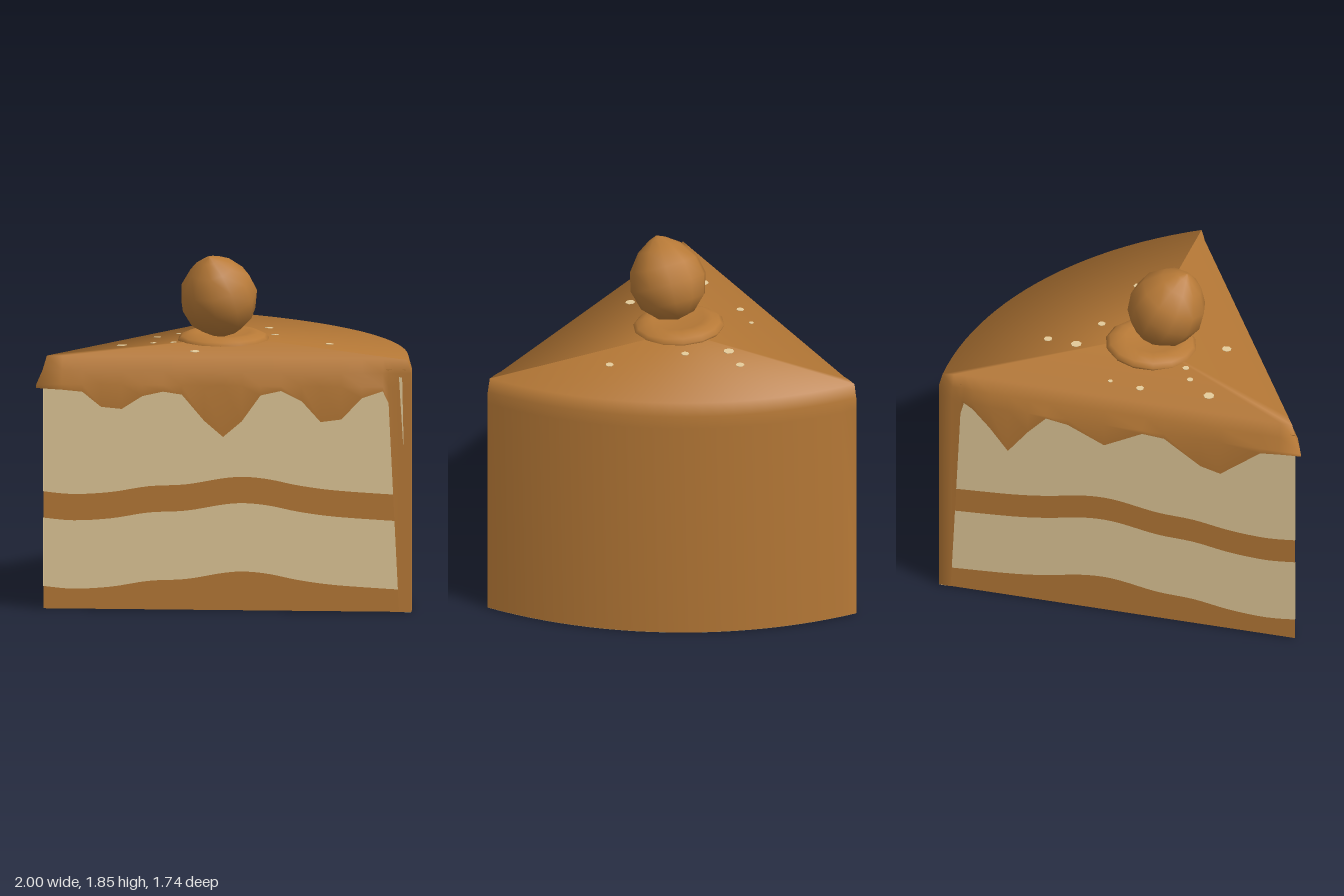
import * as THREE from 'three';

const R = 1.96, ARC = Math.PI / 3;
const TIP = new THREE.Vector3(-0.96, 0, 0.83);

const mat = (name, color) => {
  const m = new THREE.MeshStandardMaterial({ color, side: THREE.DoubleSide });
  m.name = name;
  return m;
};

// Point on a cut face: s along it from the tip, y up, out away from it.
// side 1 is the front cut, side -1 the other cut.
function onCut(side, s, y, out) {
  const a = side > 0 ? 0 : ARC;
  const nx = side > 0 ? 0 : -Math.sin(ARC), nz = side > 0 ? 1 : -Math.cos(ARC);
  return new THREE.Vector3(TIP.x + s * Math.cos(a) + out * nx, y, TIP.z - s * Math.sin(a) + out * nz);
}

// Point on the round back, at an angle from the front cut
const onArc = (a, r, y) => new THREE.Vector3(TIP.x + r * Math.cos(a), y, TIP.z - r * Math.sin(a));
const arcColumn = (a) => [onArc(a, R - 0.02, 1.352), onArc(a, R, 1.28), onArc(a, R, 1.21), onArc(a, R, 0)];

// Lower edge of the drips along each cut, as [s, y]
const DRIPS = {
  1: [[0.1, 1.18], [0.21, 1.17], [0.31, 1.09], [0.42, 1.08], [0.53, 1.15], [0.64, 1.175], [0.74, 1.16],
    [0.86, 1.02], [0.96, 0.935], [1.06, 1.02], [1.16, 1.16], [1.27, 1.185], [1.38, 1.13], [1.48, 1.02],
    [1.59, 1.035], [1.7, 1.15], [1.81, 1.185], [1.84, 1.12]],
  [-1]: [[0.08, 1.19], [0.18, 1.18], [0.4, 1.01], [0.51, 1.04], [0.71, 1.18], [0.83, 1.19], [1.04, 1.08],
    [1.24, 1.175], [1.36, 1.195], [1.46, 1.09], [1.57, 0.95], [1.67, 1.08], [1.77, 1.175], [1.82, 1.195], [1.84, 1.12]],
};
// The drips stand off the cut and settle back onto it near the round side
const dripOut = (s) => 0.042 - 0.033 * THREE.MathUtils.clamp((s - 1.71) / 0.13, 0, 1);

function indexed(pos, index) {
  const g = new THREE.BufferGeometry();
  g.setAttribute('position', new THREE.Float32BufferAttribute(pos, 3));
  g.setIndex(index);
  g.computeVertexNormals();
  return g;
}

// Frosting: columns of four points around the slice, closed by a low fan on top
function frostingGeometry() {
  const columns = [], outward = [];
  const add = (col, n) => { columns.push(col); outward.push(n); };

  const addCut = (side) => {
    const n = onCut(side, 0, 0, 1).sub(TIP);
    const cols = DRIPS[side].map(([s, y]) => {
      const out = dripOut(s);
      return [onCut(side, s, 1.355, -0.01), onCut(side, s, 1.28, out * 0.3),
        onCut(side, s, 1.21, out), onCut(side, s, y, out)];
    });
    // The strip where the back coat wraps onto the cut
    cols.push([onCut(side, 1.88, 1.355, -0.005), onCut(side, 1.885, 1.28, 0.004),
      onCut(side, 1.89, 1.21, 0.004), onCut(side, 1.895, 0, 0.003)]);
    if (side < 0) cols.reverse();
    cols.forEach((c) => add(c, n));
    // Crisp seam at the front corner
    if (side > 0) add(arcColumn(0), n);
  };

  const away = new THREE.Vector3(-Math.cos(ARC / 2), 0, Math.sin(ARC / 2));
  add([[-0.02, 1.355], [0.005, 1.28], [0.045, 1.2], [0.045, 1.185]]
    .map(([o, y]) => TIP.clone().addScaledVector(away, o).setY(y)), away);
  addCut(1);
  for (let i = 0; i <= 24; i++) {
    const a = ARC * i / 24;
    add(arcColumn(a), onArc(a, 1, 0).sub(TIP));
  }
  addCut(-1);

  const pos = [0.03, 1.385, 0.24], index = [];
  columns.flat().forEach((p) => pos.push(p.x, p.y, p.z));
  const count = columns.length;
  for (let i = 0; i < count; i++) {
    const a = 1 + i * 4, b = 1 + ((i + 1) % count) * 4;
    index.push(0, a, b);
    for (let r = 0; r < 3; r++) index.push(a + r, a + r + 1, b + r + 1, a + r, b + r + 1, b + r);
  }
  const g = indexed(pos, index);
  // Soft rounded shading along the top rim
  outward.forEach((n, i) => {
    const v = n.clone().setY(0.9).normalize();
    g.attributes.normal.setXYZ(1 + i * 4, v.x, v.y, v.z);
  });
  return g;
}

// Sloping back of the drips, from their lower edge in to the cut
function dripBackGeometry(side) {
  const pos = [], index = [];
  DRIPS[side].forEach(([s, y], i, list) => {
    for (const p of [onCut(side, s, y, dripOut(s)), onCut(side, s, 1.24, 0.004)]) pos.push(p.x, p.y, p.z);
    const a = i * 2;
    if (i < list.length - 1) index.push(a, a + 1, a + 2, a + 1, a + 3, a + 2);
  });
  return indexed(pos, index);
}

// Gentle wave of the layers along a cut
const WAVE = new THREE.SplineCurve([[0, 0], [0.16, -0.013], [0.36, 0], [0.56, 0.033], [0.76, 0.045], [0.96, 0.08],
  [1.08, 0.088], [1.21, 0.075], [1.36, 0.045], [1.56, 0.02], [1.89, 0]].map(([x, y]) => new THREE.Vector2(x, y)));

export function createModel() {
  const model = new THREE.Group();
  model.name = 'cakeSlice';
  const caramel = mat('caramel', 0xb87a37);
  const cream = mat('cream sponge', 0xe4cb9a);
  const add = (name, geometry, material, parent = model) => {
    const m = new THREE.Mesh(geometry, material);
    m.name = name;
    parent.add(m);
    return m;
  };

  // Solid wedge
  const wedge = new THREE.Shape();
  wedge.moveTo(0, 0);
  wedge.lineTo(R - 0.03, 0);
  wedge.absarc(0, 0, R - 0.03, 0, ARC, false);
  wedge.closePath();
  const body = new THREE.ExtrudeGeometry(wedge, { depth: 1.3, bevelEnabled: false, curveSegments: 24 });
  body.rotateX(-Math.PI / 2);
  add('wedgeBody', body, caramel).position.copy(TIP);

  // Pale rim under the back coat
  const rim = new THREE.RingGeometry(R - 0.035, R - 0.002, 24, 1, -ARC, ARC);
  rim.rotateX(Math.PI / 2);
  const rp = rim.attributes.position;
  for (let i = 0; i < rp.count; i++) {
    const l = Math.hypot(rp.getX(i), rp.getZ(i));
    rim.attributes.normal.setXYZ(i, rp.getX(i) / l, 0, rp.getZ(i) / l);
  }
  add('bottomRim', rim, cream).position.set(TIP.x, -0.002, TIP.z);

  // Sponge layers on both cuts
  const wave = WAVE.getPoints(40);
  for (const side of [1, -1]) {
    const cut = new THREE.Group();
    cut.name = side > 0 ? 'frontCut' : 'backCut';
    cut.position.copy(TIP);
    cut.rotation.y = side > 0 ? 0 : -2 * ARC;
    model.add(cut);
    const edge = (y) => wave.map((p) => new THREE.Vector2(side * p.x, y + p.y));
    const straight = [new THREE.Vector2(0, 1.25), new THREE.Vector2(side * 1.85, 1.25)];
    const layers = { lowerSponge: [edge(0.12), edge(0.487)], upperSponge: [edge(0.628), straight] };
    for (const [name, [low, high]] of Object.entries(layers)) {
      const plate = add(name, new THREE.ShapeGeometry(new THREE.Shape([...low, ...high.reverse()])), cream, cut);
      plate.position.z = 0.002;
    }
    add('dripBacks', dripBackGeometry(side), caramel);
  }

  // Frosting
  const frosting = add('frosting', frostingGeometry(), caramel);

  // Pale sliver on the front edge of the coat
  const sliver = new THREE.Shape([[0.935, 1.26], [0.957, 0.9], [0.96, 0.9], [0.952, 1.26]]
    .map(([x, y]) => new THREE.Vector2(x, y)));
  add('paleSliver', new THREE.ShapeGeometry(sliver), cream).position.z = TIP.z + 0.005;

  // Crumbs resting on the top
  const ray = new THREE.Raycaster();
  const down = new THREE.Vector3(0, -1, 0), up = new THREE.Vector3(0, 1, 0);
  const crumbs = [[0.165, -0.23, 0.023], [0.07, -0.1, 0.029], [-0.3, -0.01, 0.013], [-0.405, 0.125, 0.021],
    [0.22, 0.08, 0.021], [-0.57, 0.46, 0.029], [-0.405, 0.4, 0.017], [-0.3, 0.405, 0.018],
    [0.53, 0.36, 0.022], [-0.165, 0.665, 0.026]];
  for (const [x, z, r] of crumbs) {
    ray.set(new THREE.Vector3(x, 3, z), down);
    const hit = ray.intersectObject(frosting)[0];
    const crumb = add('crumb', new THREE.CylinderGeometry(r, r, 0.005, 7), cream);
    crumb.position.copy(hit.point);
    crumb.quaternion.setFromUnitVectors(up, hit.face.normal);
  }

  // Piped ring and the round topping
  const lathe = (points, sides) => new THREE.LatheGeometry(points.map(([x, y]) => new THREE.Vector2(x, y)), sides);
  const ring = add('pipedRing', lathe([[0.235, -0.03], [0.246, -0.012], [0.225, 0.008], [0.185, 0.025],
    [0.14, 0.026], [0.1, 0.014], [0, 0.012]], 14), caramel);
  ring.position.set(-0.04, 1.393, 0.285);
  ring.rotation.x = 0.06;

  const topping = add('topping', lathe([[0, -0.205], [0.1, -0.18], [0.178, -0.105], [0.208, 0], [0.186, 0.1],
    [0.118, 0.19], [0.045, 0.24], [0, 0.258]], 11), caramel);
  topping.position.set(-0.06, 1.608, 0.36);
  topping.rotation.set(0.42, 0, 0.17);

  return model;
}
